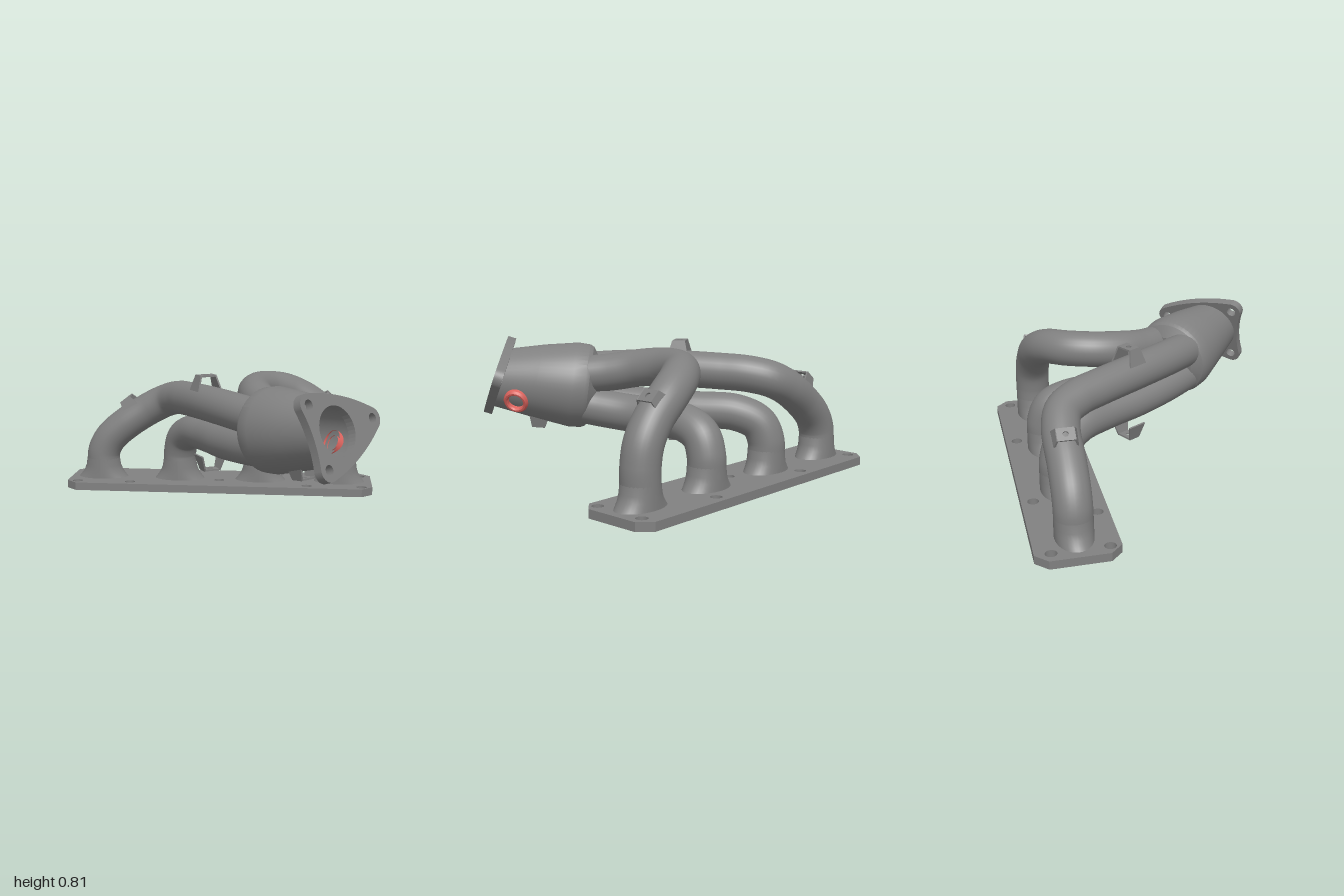
import * as THREE from 'three';
import { toCreasedNormals } from 'three/addons/utils/BufferGeometryUtils.js';

const V = (x, y, z) => new THREE.Vector3(x, y, z);
const R = 0.108; // runner pipe radius

export function createModel() {
  const model = new THREE.Group();
  const steel = new THREE.MeshStandardMaterial({ color: 0x808080, side: THREE.DoubleSide });
  steel.name = 'grey steel';
  const red = new THREE.MeshStandardMaterial({ color: 0xdc645e, side: THREE.DoubleSide });
  red.name = 'red';

  const add = (name, geometry, parent = model, material = steel) => {
    const mesh = new THREE.Mesh(geometry, material);
    mesh.name = name;
    parent.add(mesh);
    return mesh;
  };
  const hole = (shape, x, y, rx, ry = rx) => {
    const p = new THREE.Path();
    p.absellipse(x, y, rx, ry, 0, Math.PI * 2, true);
    shape.holes.push(p);
  };
  const extrude = (shape, depth) =>
    new THREE.ExtrudeGeometry(shape, { depth, bevelEnabled: false, curveSegments: 20 });

  // Group whose local y is the outward normal and local z follows the given direction
  const mount = (name, pos, normal, along) => {
    const y = normal.clone().normalize();
    const z = along.clone().addScaledVector(y, -along.dot(y)).normalize();
    const g = new THREE.Group();
    g.name = name;
    g.quaternion.setFromRotationMatrix(new THREE.Matrix4().makeBasis(y.clone().cross(z), y, z));
    g.position.copy(pos);
    model.add(g);
    return g;
  };

  // Skin through circular sections [centre, normal, radius]; each band keeps sharp rims
  const loft = (sections, n = 48) => {
    const pos = [], index = [];
    const ring = ([c, dir, r]) => {
      const w = dir.clone().normalize();
      const u = V(0, 1, 0).cross(w).normalize(), v = w.clone().cross(u);
      for (let j = 0; j <= n; j++) {
        const a = (j / n) * Math.PI * 2;
        const p = c.clone().addScaledVector(u, r * Math.cos(a)).addScaledVector(v, r * Math.sin(a));
        pos.push(p.x, p.y, p.z);
      }
    };
    for (let i = 0; i < sections.length - 1; i++) {
      const base = pos.length / 3;
      ring(sections[i]);
      ring(sections[i + 1]);
      for (let j = 0; j < n; j++) {
        const a = base + j, b = a + 1, c = a + n + 1, d = c + 1;
        index.push(a, b, c, b, d, c);
      }
    }
    const g = new THREE.BufferGeometry();
    g.setAttribute('position', new THREE.Float32BufferAttribute(pos, 3));
    g.setIndex(index);
    return toCreasedNormals(g, 0.45);
  };

  // Base plate with clipped corners, ports and bolt holes (shape y = -z)
  const portX = [-0.79, -0.27, 0.27, 0.79];
  const plate = new THREE.Shape([
    [-1, 0.43], [-0.93, 0.36], [0.93, 0.36], [1, 0.43],
    [1, 0.76], [0.93, 0.83], [-0.93, 0.83], [-1, 0.76],
  ].map(([x, y]) => new THREE.Vector2(x, y)));
  portX.forEach((x) => hole(plate, x, 0.595, 0.12, 0.08));
  for (const s of [-1, 1]) {
    [[0.93, 0.74], [0.93, 0.425], [0.58, 0.425], [0.385, 0.76]].forEach(([x, y]) => hole(plate, s * x, y, 0.033));
  }
  hole(plate, 0, 0.535, 0.033);
  add('basePlate', extrude(plate, 0.05).rotateX(-Math.PI / 2));

  // Port necks: flared sideways only, so z is held at the pipe radius
  const neckProfile = [[0.165, 0.05], [0.152, 0.065], [0.13, 0.095], [0.116, 0.13], [R, 0.18]];
  for (const x of portX) {
    const neck = new THREE.LatheGeometry(neckProfile.map(([r, y]) => new THREE.Vector2(r, y)), 36);
    const p = neck.attributes.position;
    for (let i = 0; i < p.count; i++) {
      p.setZ(i, (p.getZ(i) * R) / Math.hypot(p.getX(i), p.getZ(i)));
    }
    neck.computeVertexNormals();
    add('portNeck', neck).position.set(x, 0, -0.595);
  }

  // Runner pipes
  const runners = {
    outerRightRunner: [[-0.79, 0.15, -0.595], [-0.785, 0.22, -0.595], [-0.74, 0.31, -0.595], [-0.63, 0.41, -0.595],
      [-0.46, 0.52, -0.595], [-0.34, 0.58, -0.56], [-0.25, 0.61, -0.46], [-0.17, 0.62, -0.33],
      [0, 0.63, -0.05], [0.16, 0.625, 0.17], [0.33, 0.61, 0.36]],
    innerRightRunner: [[-0.27, 0.15, -0.595], [-0.268, 0.23, -0.593], [-0.24, 0.33, -0.555], [-0.16, 0.39, -0.45],
      [-0.04, 0.4, -0.27], [0.08, 0.405, -0.05], [0.2, 0.42, 0.15], [0.34, 0.44, 0.35]],
    innerLeftRunner: [[0.27, 0.15, -0.595], [0.27, 0.23, -0.592], [0.265, 0.33, -0.55], [0.26, 0.385, -0.43],
      [0.27, 0.395, -0.25], [0.31, 0.4, -0.06], [0.39, 0.42, 0.1], [0.49, 0.45, 0.25]],
    outerLeftRunner: [[0.79, 0.15, -0.595], [0.79, 0.26, -0.595], [0.765, 0.38, -0.595], [0.69, 0.49, -0.59],
      [0.57, 0.59, -0.58], [0.43, 0.66, -0.53], [0.31, 0.685, -0.43], [0.255, 0.685, -0.28],
      [0.275, 0.665, -0.1], [0.35, 0.635, 0.05], [0.48, 0.61, 0.23]],
  };
  for (const [name, pts] of Object.entries(runners)) {
    const path = new THREE.CatmullRomCurve3(pts.map((p) => V(...p)), false, 'centripetal');
    add(name, new THREE.TubeGeometry(path, 72, R, 28));
  }

  // Collector: rounded back, straight band, cone towards the outlet
  const axis = V(0.69, 0.13, 0.69), outN = V(0.711, 0.328, 0.621).normalize();
  const outlet = V(0.745, 0.6, 0.635);
  const flangeBack = outlet.clone().addScaledVector(outN, -0.04);
  add('collector', loft([
    [V(0.32, 0.52, 0.2), axis, 0.001], [V(0.33, 0.522, 0.21), axis, 0.17], [V(0.36, 0.53, 0.24), axis, 0.235],
    [V(0.375, 0.533, 0.255), axis, 0.246], [V(0.425, 0.541, 0.305), axis, 0.25],
    [V(0.57, 0.565, 0.455), V(0.69, 0.2, 0.67), 0.217], [flangeBack, outN, 0.178],
  ]));
  add('outletBore', loft([
    [V(0.49, 0.55, 0.39), axis, 0.001], [V(0.495, 0.552, 0.395), axis, 0.17],
    [flangeBack, outN, 0.145], [outlet, outN, 0.14],
  ]));

  // Three-bolt outlet flange, drawn with its long corner along local x
  const rad = Math.PI / 180, cr = 0.063;
  const flange = new THREE.Shape();
  flange.absarc(0.31, 0, cr, -58 * rad, 58 * rad);
  flange.quadraticCurveTo(0.12, 0.2, -0.155 + cr * Math.cos(78 * rad), 0.178 + cr * Math.sin(78 * rad));
  flange.absarc(-0.155, 0.178, cr, 78 * rad, 190 * rad);
  flange.quadraticCurveTo(-0.175, 0, -0.155 + cr * Math.cos(170 * rad), -0.178 - cr * Math.sin(10 * rad) * -1);
  flange.absarc(-0.155, -0.178, cr, 170 * rad, 282 * rad);
  flange.quadraticCurveTo(0.12, -0.2, 0.31 + cr * Math.cos(58 * rad), -cr * Math.sin(58 * rad));
  hole(flange, 0, 0, 0.14);
  [[0.31, 0], [-0.155, 0.178], [-0.155, -0.178]].forEach(([x, y]) => hole(flange, x, y, 0.03));
  const long = V(0.61, 0.1, -0.787);
  const side = outN.clone().cross(long);
  const flangeGroup = mount('outletFlange', outlet, side, outN);
  add('flangePlate', extrude(flange, 0.05), flangeGroup).position.z = -0.05;

  // Sensor boss on the collector
  const boss = mount('sensorBoss', V(0.77, 0.475, 0.415), V(0.78, -0.42, -0.46), V(0, 1, 0));
  const bossProfile = [[0.072, -0.07], [0.072, 0.012], [0.062, 0.024], [0.052, 0.024], [0.045, 0.015], [0.045, -0.06]];
  add('bossRing', toCreasedNormals(
    new THREE.LatheGeometry(bossProfile.map(([r, y]) => new THREE.Vector2(r, y)), 32), 0.5), boss, red);
  add('bossSeat', new THREE.CylinderGeometry(0.046, 0.046, 0.02, 32), boss).position.y = -0.02;

  // Heat shield clips: drilled top plate on two splayed legs
  const top = new THREE.Shape([[-0.052, -0.038], [0.052, -0.038], [0.052, 0.038], [-0.052, 0.038]]
    .map(([x, y]) => new THREE.Vector2(x, y)));
  hole(top, 0, 0, 0.016);
  const leg = new THREE.Shape([[-0.038, 0], [-0.062, -0.1], [0.062, -0.1], [0.038, 0]]
    .map(([x, y]) => new THREE.Vector2(x, y)));
  const topGeometry = extrude(top, 0.01).rotateX(-Math.PI / 2).translate(0, -0.01, 0);
  const legGeometry = extrude(leg, 0.01).translate(0, 0, -0.005).rotateY(Math.PI / 2);
  const clips = [
    [V(-0.63, 0.58, -0.595), V(-0.62, 0.78, 0), V(0.78, 0.62, 0)],
    [V(-0.04, 0.8, -0.12), V(0, 1, 0), V(0.52, 0, 0.85)],
    [V(0.73, 0.62, -0.59), V(0.68, 0.73, 0), V(-0.73, 0.68, 0)],
    [V(-0.015, 0.21, -0.12), V(0, -1, 0), V(0.5, 0, 0.86)],
    [V(0.57, 0.295, 0.455), V(0.06, -1, 0.06), V(0.7, 0, 0.7)],
  ];
  for (const [pos, normal, along] of clips) {
    const clip = mount('shieldClip', pos, normal, along);
    add('clipTop', topGeometry, clip);
    for (const s of [-1, 1]) {
      const m = add('clipLeg', legGeometry, clip);
      m.position.x = s * 0.048;
      m.rotation.z = s * 0.29;
    }
  }
  return model;
}
